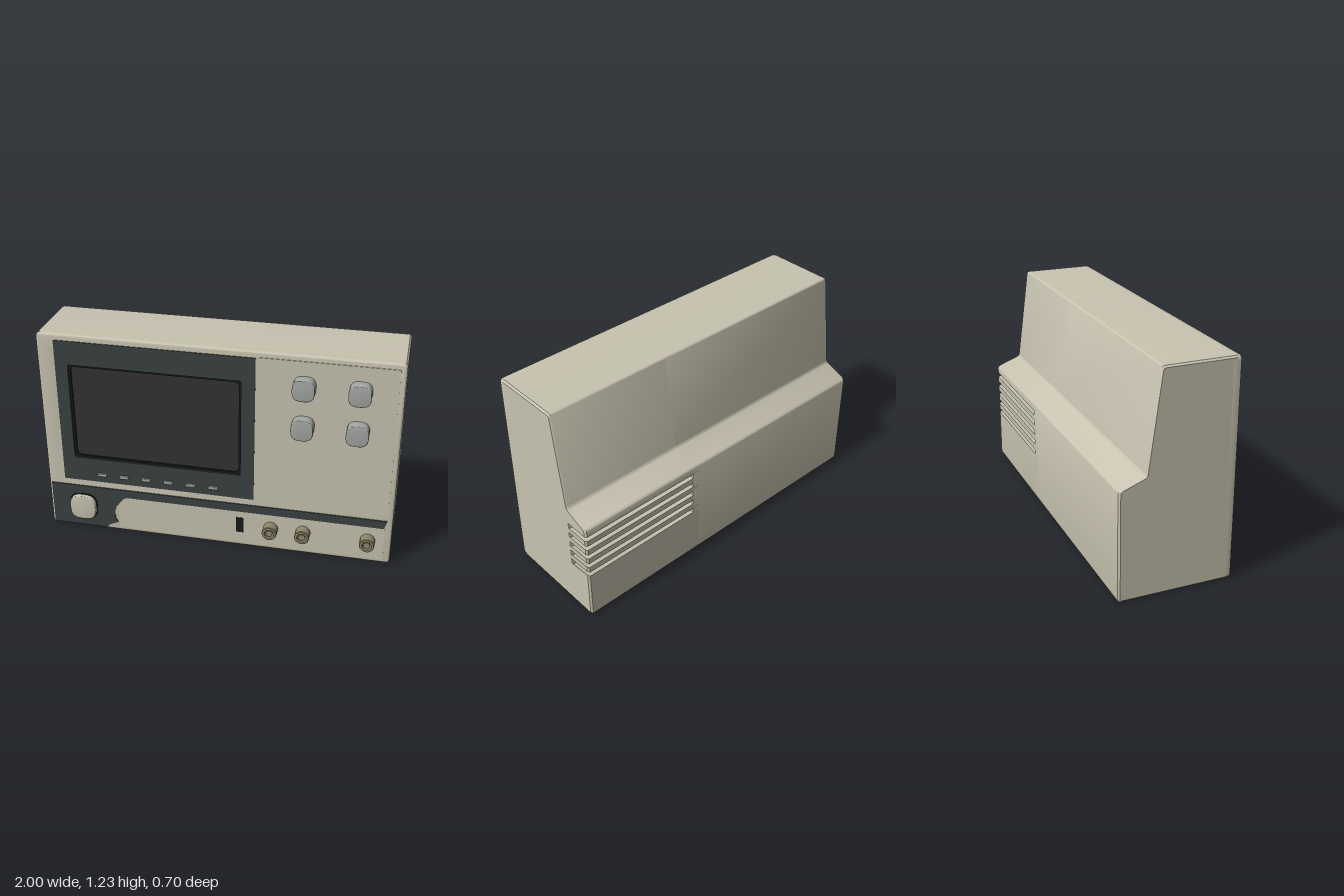
import * as THREE from 'three';
import { toCreasedNormals } from 'three/addons/utils/BufferGeometryUtils.js';

const mat = (color) => new THREE.MeshStandardMaterial({ color });
const beige = mat(0xc8c3b0), dark = mat(0x3a4140), black = mat(0x15191a);
const glass = mat(0x343333), grey = mat(0xa6a8a5), brass = mat(0x8f876a);

const H = 1.225, FRONT = 0.29;

// Closed outline from [x, y, cornerRadius] points
function outline(points) {
  const shape = new THREE.Shape(), n = points.length;
  points.forEach(([x, y, r = 0], i) => {
    const p = new THREE.Vector2(x, y);
    const toward = (q) => new THREE.Vector2(q[0], q[1]).sub(p).setLength(r).add(p);
    const a = toward(points[(i + n - 1) % n]), b = toward(points[(i + 1) % n]);
    if (i === 0) shape.moveTo(a.x, a.y); else shape.lineTo(a.x, a.y);
    if (r > 0) shape.quadraticCurveTo(x, y, b.x, b.y);
  });
  shape.closePath();
  return shape;
}

// Rounded rectangle around a centre
function rect(cx, cy, w, h, r = 0) {
  const x = w / 2, y = h / 2;
  return outline([[cx - x, cy - y, r], [cx + x, cy - y, r], [cx + x, cy + y, r], [cx - x, cy + y, r]]);
}

function mesh(group, name, geometry, material) {
  const m = new THREE.Mesh(toCreasedNormals(geometry, 0.6), material);
  m.name = name;
  group.add(m);
  return m;
}

// Front-facing slab between two depths, optionally with rounded edges
function slab(shape, z0, z1, bevel = 0) {
  const g = new THREE.ExtrudeGeometry(shape, {
    depth: z1 - z0 - 2 * bevel, bevelEnabled: bevel > 0, bevelSize: bevel,
    bevelThickness: bevel, bevelOffset: -bevel, bevelSegments: 3, curveSegments: 6,
  });
  return g.translate(0, 0, z0 + bevel);
}

// Side profile swept along x, with a small chamfer at the outer end
function sweep(points, inner, outer) {
  const c = 0.01, sign = Math.sign(outer);
  const x0 = Math.min(inner, outer), x1 = Math.max(inner, outer);
  const g = new THREE.ExtrudeGeometry(outline(points), {
    depth: x1 - x0, steps: 2, bevelEnabled: false, curveSegments: 4,
  });
  g.rotateY(Math.PI / 2).translate(x0, 0, 0);
  const p = g.attributes.position, mid = (x0 + x1) / 2;
  for (let i = 0; i < p.count; i++) {
    const x = p.getX(i);
    if (Math.abs(x - mid) < 1e-4) p.setX(i, outer - sign * c);
    else if (Math.abs(x - outer) < 1e-4) {
      p.setY(i, H / 2 + (p.getY(i) - H / 2) * (1 - 2 * c / H));
      p.setZ(i, p.getZ(i) * (1 - c / 0.33));
    }
  }
  return g;
}

export function createModel() {
  const model = new THREE.Group();

  // Housing: stepped, sloping back; profile points are [-z, y, radius]
  const bottom = [[-0.27, 0], [0.35, 0, 0.015]];
  const top = [[0.35, 0.615, 0.015], [0.205, 0.67, 0.015], [0.13, H, 0.015], [-0.27, H]];
  mesh(model, 'housing', sweep([...bottom, ...top], 0.26, -1), beige);

  // Vented part of the housing: slots wrap round the back corner
  const slots = [];
  for (let i = 4; i >= 0; i--) {
    const yIn = 0.557 - 0.0645 * i, yOut = 0.557 - 0.0625 * i;
    slots.push([0.35, yOut - 0.014], [0.21, yIn - 0.017], [0.21, yIn + 0.017], [0.35, yOut + 0.014]);
  }
  mesh(model, 'ventedHousing', sweep([...bottom, ...slots, ...top], 0.22, 1), beige);

  // Front plate with an opening for the display
  const plate = rect(0, H / 2, 2, H, 0.025);
  plate.holes.push(rect(-0.3425, 0.76, 1.04, 0.64));
  mesh(model, 'frontPlate', slab(plate, 0.235, FRONT, 0.01), beige);
  mesh(model, 'controlPanel', slab(rect(0.595, 0.745, 0.75, 0.9, 0.01), 0.28, 0.294), beige);
  mesh(model, 'connectorPanel', slab(rect(0.19, 0.125, 1.54, 0.21, 0.01), 0.28, 0.293), beige);

  // Display: dark bezel, black rim and recessed screen
  const bezel = rect(-0.34, 0.755, 1.12, 0.87);
  bezel.holes.push(rect(-0.3425, 0.76, 0.97, 0.58, 0.01));
  mesh(model, 'displayBezel', slab(bezel, 0.271, 0.295), dark);
  const rim = rect(-0.3425, 0.76, 0.97, 0.58, 0.01);
  rim.holes.push(rect(-0.3425, 0.76, 0.945, 0.555, 0.03));
  mesh(model, 'screenRim', slab(rim, 0.271, 0.285), black);
  mesh(model, 'screen', slab(rect(-0.3425, 0.76, 0.96, 0.57), 0.265, 0.275), glass);

  // Soft keys under the screen
  for (let i = 0; i < 6; i++) {
    mesh(model, 'softKey', slab(rect(-0.667 + i * 0.131, 0.37, 0.056, 0.018, 0.008), 0.29, 0.307, 0.003), grey);
  }

  // Dark trim band that widens around the power button
  const band = outline([
    [-0.985, 0.01, 0.01], [-0.66, 0.01], [-0.645, 0.03], [-0.59, 0.055], [-0.605, 0.085, 0.01],
    [-0.605, 0.15, 0.03], [-0.54, 0.23, 0.02], [0.955, 0.23, 0.01], [0.97, 0.28], [-0.985, 0.28],
  ]);
  mesh(model, 'trimBand', slab(band, 0.28, 0.296), dark);
  mesh(model, 'powerButtonRing', slab(rect(-0.795, 0.143, 0.17, 0.17, 0.07), 0.28, 0.299), black);
  mesh(model, 'powerButton', slab(rect(-0.795, 0.143, 0.156, 0.156, 0.065), 0.28, 0.322, 0.006), beige);

  // Control knobs
  for (const x of [0.482, 0.775]) {
    for (const y of [0.82, 1.052]) {
      mesh(model, 'knob', slab(rect(x, y, 0.12, 0.12, 0.05), 0.285, 0.355, 0.004), grey);
    }
  }

  // Data port
  mesh(model, 'dataPort', slab(rect(0.142, 0.14, 0.044, 0.098), 0.28, 0.295), black);

  // Coaxial connectors: hollow barrel around a centre contact
  const barrel = [[0.042, 0], [0.042, 0.066], [0.039, 0.07], [0.027, 0.07], [0.027, 0.02], [0, 0.02]]
    .map(([r, h]) => new THREE.Vector2(r, h));
  for (const x of [0.322, 0.507, 0.87]) {
    const connector = new THREE.Group();
    connector.name = 'connector';
    mesh(connector, 'connectorBarrel', new THREE.LatheGeometry(barrel, 24).rotateX(Math.PI / 2), brass);
    mesh(connector, 'connectorContact',
      new THREE.CylinderGeometry(0.019, 0.019, 0.05, 20).rotateX(Math.PI / 2).translate(0, 0, 0.04), brass);
    connector.position.set(x, 0.142, 0.285);
    model.add(connector);
  }

  return model;
}
